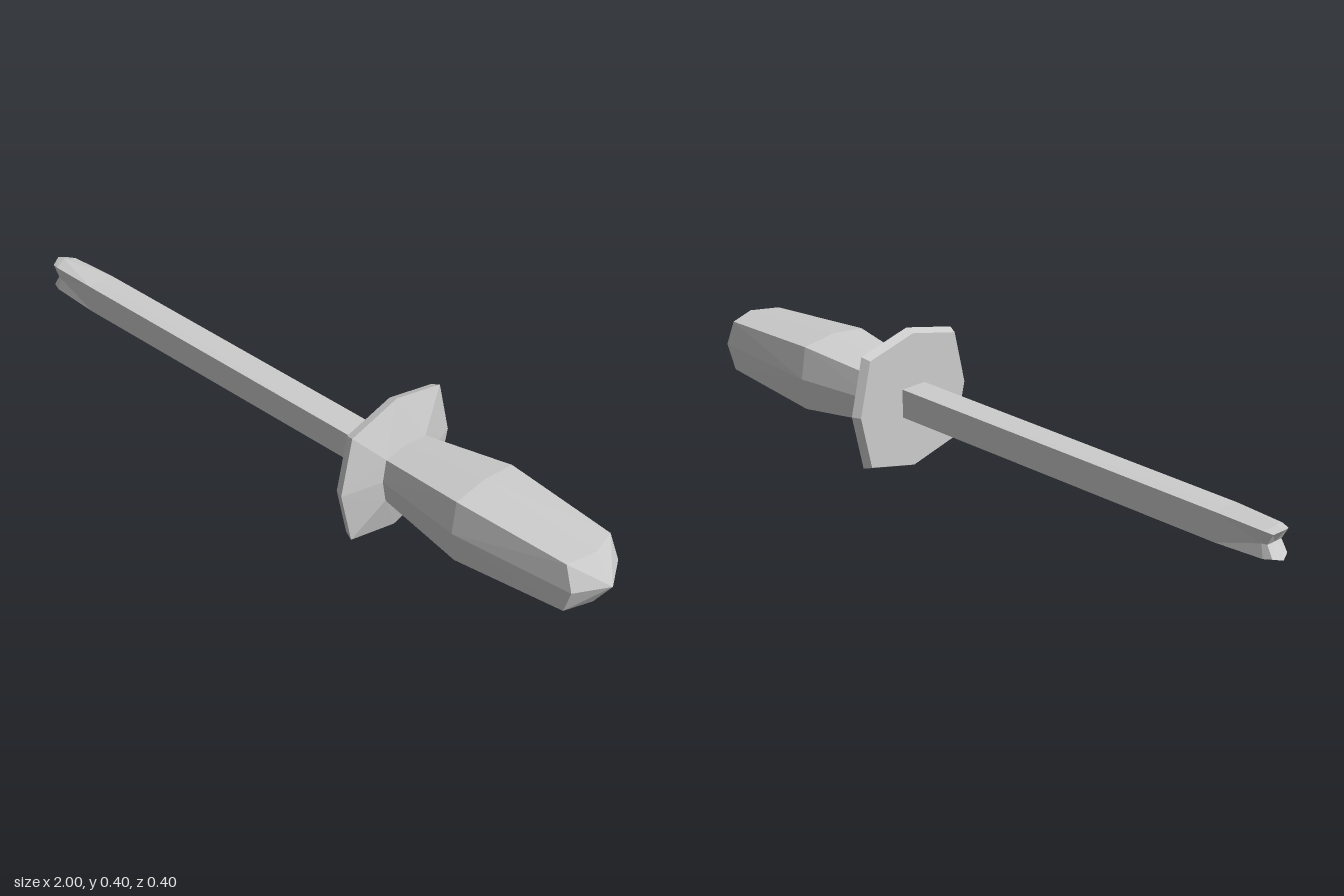
import * as THREE from 'three';

const AXIS_Y = 0.2;

// Eight-point ring: four side midpoints and four corners.
// xs, optional, shifts x per kind: [top/bottom mid, corner, side mid]
function ring(x, midY, midZ, cornerY, cornerZ, xs = [0, 0, 0]) {
  const pts = [
    [xs[0], midY, 0], [xs[1], cornerY, cornerZ], [xs[2], 0, midZ], [xs[1], -cornerY, cornerZ],
    [xs[0], -midY, 0], [xs[1], -cornerY, -cornerZ], [xs[2], 0, -midZ], [xs[1], cornerY, -cornerZ],
  ];
  return pts.map(([dx, y, z]) => [x + dx, y, z]);
}

// Joins rings in order of rising x and closes both ends onto an axis point
function loft(name, material, startX, rings, endX) {
  const pos = [];
  const tri = (...p) => p.forEach((v) => pos.push(...v));
  const n = 8;
  for (let j = 0; j < n; j++) {
    const k = (j + 1) % n;
    for (let i = 0; i < rings.length - 1; i++) {
      const a = rings[i], b = rings[i + 1];
      if (j % 2) { // mirror the diagonals about each side midpoint
        tri(a[j], a[k], b[j]);
        tri(a[k], b[k], b[j]);
      } else {
        tri(a[j], a[k], b[k]);
        tri(a[j], b[k], b[j]);
      }
    }
    const first = rings[0], last = rings[rings.length - 1];
    tri([startX, 0, 0], first[k], first[j]);
    tri([endX, 0, 0], last[j], last[k]);
  }
  const geo = new THREE.BufferGeometry();
  geo.setAttribute('position', new THREE.Float32BufferAttribute(pos, 3));
  geo.computeVertexNormals();
  const mesh = new THREE.Mesh(geo, material);
  mesh.name = name;
  mesh.position.y = AXIS_Y;
  return mesh;
}

export function createModel() {
  const group = new THREE.Group();
  group.name = 'handTool';
  const grey = new THREE.MeshStandardMaterial({ color: 0xcccccc });
  grey.name = 'plain grey';

  // Square shaft with a narrowed, notched end
  group.add(loft('shaft', grey, -0.97, [
    ring(-1, 0.04, 0.026, 0.032, 0.028, [0, 0.012, 0.03]),
    ring(-0.975, 0.046, 0.03, 0.036, 0.035, [0, 0.01, 0.02]),
    ring(-0.82, 0.041, 0.04, 0.04, 0.04),
    ring(0.28, 0.04, 0.04, 0.04, 0.04),
  ], 0.28));

  // Flared guard plate
  group.add(loft('guard', grey, 0.27, [
    ring(0.27, 0.19, 0.19, 0.152, 0.154),
    ring(0.295, 0.2, 0.2, 0.16, 0.162),
    ring(0.33, 0.072, 0.083, 0.063, 0.072),
  ], 0.33));

  // Swelling handle with a faceted, pointed end
  group.add(loft('handle', grey, 0.32, [
    ring(0.32, 0.072, 0.083, 0.063, 0.072),
    ring(0.59, 0.104, 0.118, 0.091, 0.104),
    ring(0.945, 0.078, 0.089, 0.072, 0.083, [0, -0.025, 0]),
  ], 1));

  return group;
}
